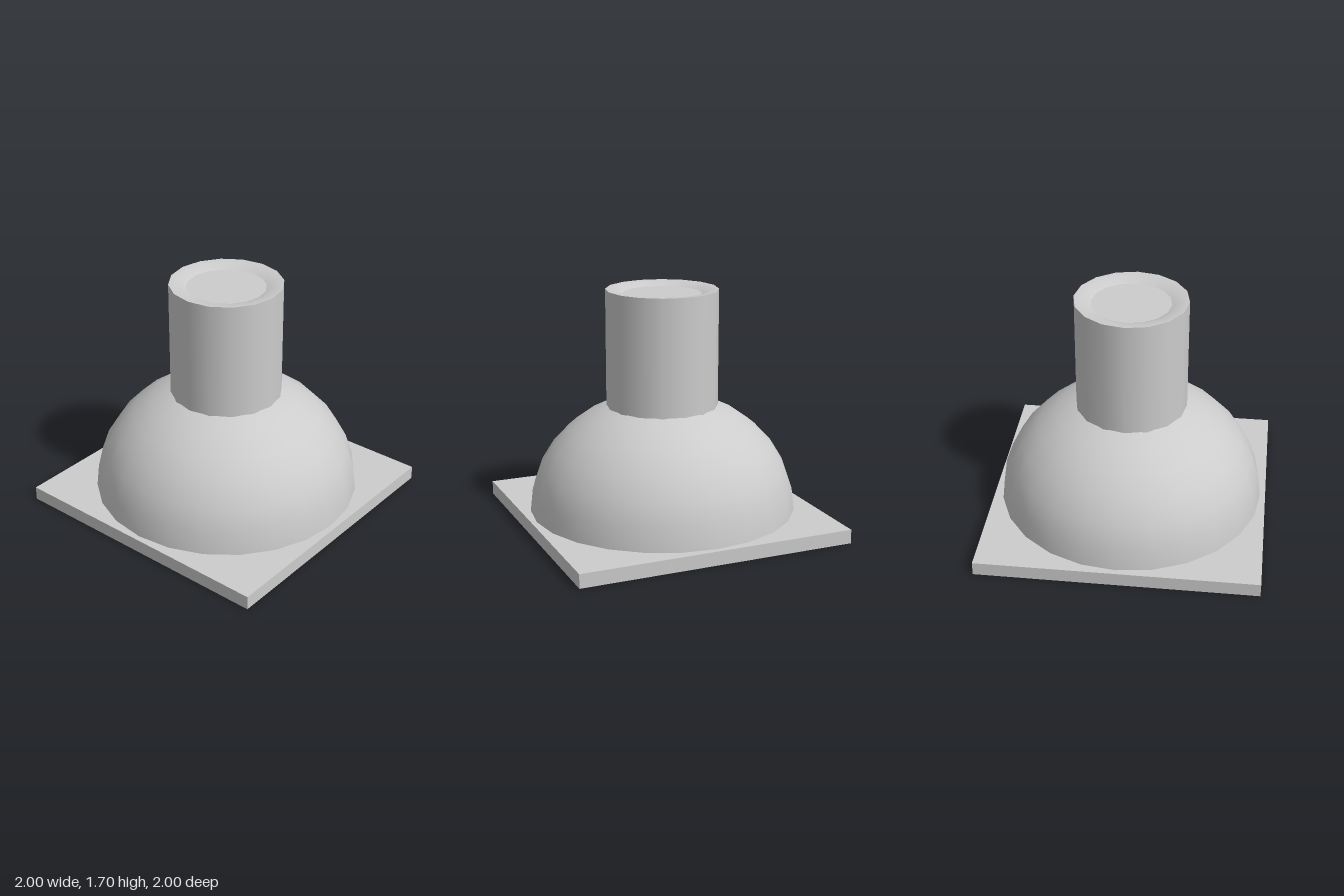
import * as THREE from 'three';

const grey = new THREE.MeshStandardMaterial({ color: 0xcccccc });
grey.name = 'plainGrey';

export function createModel() {
  const model = new THREE.Group();
  model.name = 'domedVent';

  const add = (name, geometry) => {
    const mesh = new THREE.Mesh(geometry, grey);
    mesh.name = name;
    model.add(mesh);
    return mesh;
  };
  const lathe = (name, profile, sides) =>
    add(name, new THREE.LatheGeometry(profile.map(([r, y]) => new THREE.Vector2(r, y)), sides));

  // square base plate with a round opening
  const square = new THREE.Shape([[-1, -1], [1, -1], [1, 1], [-1, 1]].map(([x, y]) => new THREE.Vector2(x, y)));
  const hole = [];
  for (let i = 0; i < 24; i++) {
    const a = -i * Math.PI / 12;
    hole.push(new THREE.Vector2(0.87 * Math.cos(a), 0.87 * Math.sin(a)));
  }
  square.holes.push(new THREE.Path(hole));
  const plate = new THREE.ExtrudeGeometry(square, { depth: 0.1, bevelEnabled: false });
  plate.rotateX(-Math.PI / 2);
  add('basePlate', plate);

  // flattened outer dome
  const outer = [];
  for (let k = 0; k <= 8; k++) {
    const a = k * Math.PI / 16;
    outer.push([k === 8 ? 0 : 0.96 * Math.cos(a), 0.1 + 0.84 * Math.sin(a)]);
  }
  lathe('outerDome', outer, 24);

  // hollow underside: inner wall, then a shallower ceiling, both facing inward
  lathe('innerWall', [[0.8, 0.345], [0.85, 0.22], [0.87, 0.1]], 24);
  lathe('innerCeiling', [[0, 0.77], [0.28, 0.74], [0.5, 0.66], [0.68, 0.52], [0.8, 0.345]], 24);

  // neck with a slightly dished rim and a recessed flat cap
  lathe('neck', [[0.4, 0.84], [0.4, 1.7]], 16);
  lathe('neckRim', [[0.4, 1.7], [0.34, 1.695], [0.28, 1.67]], 16);
  lathe('neckCap', [[0.28, 1.67], [0, 1.67]], 16);

  return model;
}
